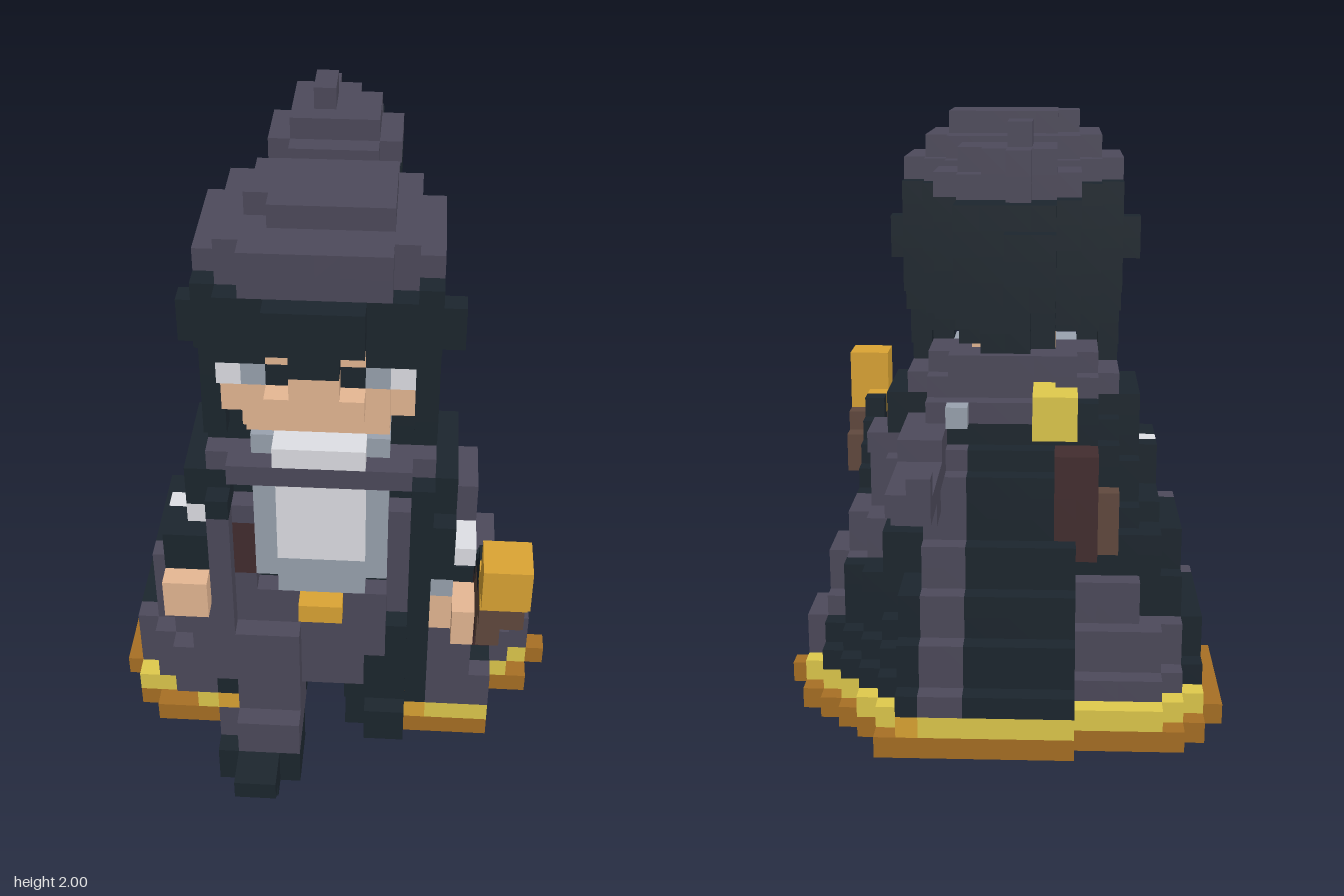
import * as THREE from 'three';

const V = 2 / 31; // edge of one cube; the grid is 21 x 31 x 23 cells

const mat = (name, color) => Object.assign(new THREE.MeshStandardMaterial({ color }), { name });
const plum = mat('plum', 0x4d4a5b), dark = mat('dark slate', 0x1c262e);
const light = mat('pale cloth', 0xdfe0e5), grey = mat('grey cloth', 0x9aa3b0);
const skin = mat('skin', 0xe6b894), yellow = mat('yellow trim', 0xe0ca4c);
const gold = mat('gold', 0xdca534), bronze = mat('bronze', 0xa87024);
const maroon = mat('maroon leather', 0x432d2f), brown = mat('brown leather', 0x61493e);

// outward direction of each cube face, with its two in-plane axes (u x v = n)
const FACES = [
  [[1, 0, 0], [0, 1, 0], [0, 0, 1]], [[-1, 0, 0], [0, 0, 1], [0, 1, 0]],
  [[0, 1, 0], [0, 0, 1], [1, 0, 0]], [[0, -1, 0], [1, 0, 0], [0, 0, 1]],
  [[0, 0, 1], [1, 0, 0], [0, 1, 0]], [[0, 0, -1], [0, 1, 0], [1, 0, 0]],
];

export function createModel() {
  const cells = new Map();
  let part = '';
  const put = (x, y, z, m) => cells.set(`${x},${y},${z}`, { p: [x, y, z], m, part });
  // solid block, inclusive cell ranges
  const box = (m, x0, x1, y0, y1, z0, z1) => {
    for (let x = x0; x <= x1; x++) for (let y = y0; y <= y1; y++) for (let z = z0; z <= z1; z++) put(x, y, z, m);
  };
  // block with rounded corners in plan
  const disc = (m, x0, x1, y0, y1, z0, z1, pow = 3) => {
    for (let x = x0; x <= x1; x++) for (let z = z0; z <= z1; z++) {
      const u = Math.abs((2 * x - x0 - x1) / (x1 - x0 + 1)), w = Math.abs((2 * z - z0 - z1) / (z1 - z0 + 1));
      if (u ** pow + w ** pow <= 1) box(m, x, x, y0, y1, z, z);
    }
  };

  // legs: the right one steps forward
  part = 'rightLeg';
  box(dark, 5, 8, 2, 8, 14, 14);
  box(plum, 5, 8, 2, 8, 15, 17);
  box(plum, 6, 8, 2, 3, 18, 18);
  disc(dark, 5, 8, 0, 1, 15, 19, 2);
  box(dark, 6, 7, 1, 1, 20, 20);
  part = 'leftLeg';
  box(dark, 11, 14, 1, 2, 11, 14);
  disc(dark, 11, 14, 0, 1, 11, 15, 2);
  box(dark, 11, 13, 3, 5, 12, 15);

  // torso
  part = 'torso';
  box(dark, 6, 13, 8, 17, 10, 15);
  box(dark, 6, 13, 5, 7, 12, 13);
  box(plum, 6, 13, 5, 10, 14, 15);
  box(plum, 6, 12, 5, 10, 16, 16);
  box(plum, 11, 13, 4, 4, 14, 15);
  box(dark, 13, 13, 5, 8, 16, 16);
  box(dark, 12, 12, 5, 6, 16, 16);
  box(plum, 6, 6, 11, 15, 15, 16);
  box(plum, 13, 13, 11, 15, 15, 16);
  box(maroon, 6, 6, 12, 14, 16, 16);
  part = 'shirt';
  box(light, 8, 11, 13, 17, 16, 16);
  for (const x of [7, 12]) box(grey, x, x, 12, 17, 16, 16);
  box(grey, 8, 11, 11, 12, 16, 16);
  part = 'buckle';
  box(gold, 9, 10, 10, 10, 17, 17);

  // cape: a hollow bell; left and right edges, back to front, of the two hem rows and the skirt above
  part = 'cape';
  const edges = [
    [[7, 2, 1, 1, 0, 0, 0, 0, 0, 0, 0, 1, 1, 2], [15, 15, 16, 17, 18, 19, 19, 19, 20, 19, 19, 17, 17, 17]],
    [[7, 3, 2, 1, 1, 1, 1, 1, 1, 1, 1, 1, 1, 4], [14, 15, 16, 16, 17, 18, 19, 19, 19, 19, 18, 17, 17, 17]],
    [[7, 7, 3, 2, 1, 1, 1, 1, 1, 1, 1, 1, 2, 3], [14, 14, 15, 16, 17, 18, 18, 19, 19, 19, 18, 17, 17, 17]],
  ];
  // leftmost cell, rightmost cell and rearmost cell of rows 3 to 17
  const rows = [[0, 20, 4], [1, 19, 4], [1, 19, 4], [1, 19, 5], [1, 18, 5], [2, 18, 6], [2, 18, 6], [2, 17, 7],
    [2, 17, 7], [3, 16, 8], [4, 16, 8], [4, 16, 8], [4, 16, 9], [4, 15, 10], [5, 15, 10]];
  const inside = (x, y, z) => {
    if (y > 17) return true;
    const [l, r, b] = rows[y - 3];
    if (z < b || z > 17) return false;
    const h = Math.round(((z - b) * 13) / (17 - b));
    const [left, right] = edges[Math.min(y - 3, 2)];
    if (y < 5) return x >= left[h] && x <= right[h];
    return x >= Math.round(10 - ((10 - left[h]) * (10 - l)) / 9) && x <= Math.round(10 + ((right[h] - 10) * (r - 10)) / 9);
  };
  const within = (x, y, z, t) => inside(x - t, y, z) && inside(x + t, y, z) && inside(x, y, z - t) && inside(x, y, z + t);
  rows.forEach(([l, r, b], n) => {
    const y = n + 3;
    for (let z = b; z <= 17; z++) for (let x = l; x <= r; x++) {
      if (!inside(x, y, z)) continue;
      const hollow = within(x, y, z, y < 5 ? 2 : 1) && inside(x, y + 1, z);
      const frontGap = z > 11 && x >= (y < 5 ? 5 : 6) && x <= 13;
      if (hollow || frontGap) continue;
      let m = dark;
      if (x < 10 && z < 9 && x > 1 && x < 7) m = plum;
      if (x < 6 && z > 14 && y > (x === 5 ? 5 : 4)) m = plum;
      if (x > 11 && x < 14 && z === b) m = plum;
      if (x > 13 && z > 10 && z < 15) m = plum;
      if (x > 14 && z === 17 && y < 10) m = plum;
      if (y > 15) m = dark;
      if (y === 4) m = within(x, y, z, 1) || x === 14 ? gold : yellow;
      if (y === 3) m = bronze;
      put(x, y, z, m);
    }
  });
  box(gold, 9, 10, 3, 4, 6, 6);
  put(5, 4, 17, gold);

  // arms with pale cuffs
  part = 'rightArm';
  box(dark, 4, 5, 16, 17, 12, 16);
  box(light, 4, 4, 15, 15, 14, 16);
  box(dark, 3, 4, 13, 14, 14, 17);
  box(light, 3, 3, 13, 14, 15, 15);
  box(skin, 3, 4, 11, 12, 17, 18);
  part = 'leftArm';
  box(dark, 14, 15, 16, 17, 12, 16);
  box(light, 15, 15, 15, 15, 14, 15);
  box(plum, 16, 16, 15, 15, 12, 13);
  box(dark, 15, 15, 14, 14, 14, 16);
  box(light, 15, 16, 13, 13, 14, 16);
  box(plum, 16, 16, 12, 12, 13, 14);
  box(grey, 15, 15, 12, 12, 14, 17);
  box(skin, 15, 16, 10, 11, 17, 17);
  box(skin, 16, 16, 10, 11, 18, 18);

  // sheathed sword slanting down and back at the left hip
  part = 'sword';
  [[8, 14, 16], [9, 14, 17], [10, 15, 18], [11, 16, 19]].forEach(([y, a, b]) => box(maroon, 17, 17, y, y, a, b));
  box(maroon, 16, 16, 9, 10, 15, 16);
  [[12, 17, 20], [13, 18, 20], [14, 20, 21]].forEach(([y, a, b]) => box(brown, 17, 17, y, y, a, b));
  box(brown, 18, 18, 12, 13, 19, 19);
  box(brown, 18, 18, 13, 14, 20, 20);
  for (let y = 11; y <= 15; y++) box(dark, 17, 17, y, y, y + 4, y + 4);
  box(dark, 17, 17, 14, 14, 19, 19);
  put(17, 15, 20, gold);
  box(gold, 17, 18, 15, 15, 21, 21);
  box(gold, 17, 18, 16, 17, 21, 22);

  // pouch and clasp on the back
  part = 'pouch';
  box(maroon, 6, 7, 12, 15, 8, 9);
  box(maroon, 6, 6, 11, 11, 8, 8);
  box(brown, 5, 5, 11, 13, 9, 10);
  part = 'clasp';
  box(yellow, 7, 8, 17, 18, 7, 8);
  put(8, 18, 9, yellow);
  put(12, 17, 9, grey);

  // scarf and its flying tail
  part = 'scarf';
  disc(plum, 5, 14, 18, 18, 11, 17, 4);
  disc(plum, 6, 13, 19, 19, 11, 15);
  box(plum, 8, 13, 17, 17, 10, 10);
  box(plum, 13, 14, 16, 16, 7, 11);
  box(plum, 13, 14, 15, 15, 2, 8);
  box(plum, 13, 14, 14, 14, 4, 5);
  box(plum, 13, 13, 15, 16, 1, 1);

  part = 'collar';
  box(light, 8, 11, 19, 19, 16, 17);
  for (const x of [7, 12]) box(grey, x, x, 19, 19, 15, 16);
  part = 'neck';
  box(skin, 8, 11, 20, 21, 13, 15);

  // hair
  part = 'hair';
  box(dark, 6, 13, 21, 21, 12, 13);
  disc(dark, 5, 14, 22, 22, 11, 17, 4);
  disc(dark, 5, 14, 23, 24, 10, 17, 4);
  disc(dark, 5, 14, 25, 27, 10, 18, 4);
  disc(plum, 5, 14, 28, 28, 10, 18);
  disc(plum, 6, 13, 29, 29, 11, 18);
  box(plum, 8, 12, 30, 30, 13, 16);
  box(plum, 7, 7, 30, 30, 14, 15);
  box(dark, 8, 11, 26, 27, 19, 19);
  box(dark, 9, 10, 25, 25, 19, 19);
  for (const [x, inner, tuft] of [[5, 6, 4], [14, 13, 15]]) {
    box(dark, x, x, 19, 19, 15, 15);
    box(dark, x, x, 20, 24, 14, 16);
    box(dark, inner, inner, 19, 21, 15, 15);
    box(dark, tuft, tuft, 24, 25, 15, 15);
  }

  // face
  part = 'face';
  box(skin, 7, 12, 21, 21, 14, 17);
  box(skin, 6, 13, 22, 23, 15, 17);
  box(skin, 7, 12, 22, 24, 18, 18);
  box(skin, 8, 11, 23, 23, 19, 19);
  box(skin, 9, 10, 24, 24, 19, 19);
  for (const x of [8, 11]) put(x, 25, 18, skin);
  part = 'eyes';
  for (const [pupil, iris, white] of [[8, 7, 6], [11, 12, 13]]) {
    put(pupil, 24, 18, dark);
    put(iris, 24, 18, grey);
    box(light, white, white, 24, 24, 17, 18);
  }

  // ponytail in slices from tip to root, each with a narrower underside
  part = 'ponytail';
  [[8, 9, 24, 26], [8, 11, 23, 27], [8, 11, 22, 27], [7, 11, 22, 27], [7, 12, 22, 27], [7, 12, 23, 27],
    [7, 12, 24, 27], [8, 11, 25, 27], [8, 11, 25, 27], [8, 11, 25, 27]].forEach(([x0, x1, y0, y1], z) => {
    box(dark, x0, x1, y0 + 1, y1, z, z);
    box(dark, z ? x0 + 1 : x0, z ? x1 - 1 : x1, y0, y0, z, z);
  });
  put(9, 24, 8, dark);
  box(plum, 9, 9, 28, 29, 2, 2);
  box(plum, 8, 11, 28, 28, 3, 7);
  box(plum, 7, 12, 28, 28, 4, 6);
  box(plum, 8, 10, 29, 29, 3, 3);
  box(plum, 8, 11, 29, 29, 4, 6);
  box(plum, 9, 9, 30, 30, 4, 5);
  part = 'hairBand';
  box(yellow, 8, 11, 28, 28, 9, 9);
  box(yellow, 8, 11, 27, 27, 8, 9);
  box(gold, 8, 11, 26, 26, 8, 9);
  box(bronze, 8, 11, 25, 25, 9, 9);
  part = 'ponytail';
  box(plum, 8, 10, 27, 27, 8, 8);

  // turn exposed cube faces into one mesh per part and colour
  const meshes = new Map();
  for (const { p, m, part: name } of cells.values()) {
    const key = `${name} ${m.name}`;
    if (!meshes.has(key)) meshes.set(key, { name, m, pos: [], nor: [] });
    const { pos, nor } = meshes.get(key);
    for (const [n, u, w] of FACES) {
      if (cells.has(p.map((c, a) => c + n[a]).join())) continue;
      for (const [s, t] of [[-1, -1], [1, -1], [1, 1], [-1, -1], [1, 1], [-1, 1]]) {
        const q = p.map((c, a) => c + 0.5 + (n[a] + s * u[a] + t * w[a]) / 2);
        pos.push((q[0] - 10.5) * V, q[1] * V, (q[2] - 11.5) * V);
        nor.push(...n);
      }
    }
  }
  const model = new THREE.Group();
  model.name = 'cloakedSwordFighter';
  for (const [key, { name, m, pos, nor }] of meshes) {
    if (!pos.length) continue;
    let group = model.getObjectByName(name);
    if (!group) {
      group = new THREE.Group();
      group.name = name;
      model.add(group);
    }
    const geo = new THREE.BufferGeometry();
    geo.setAttribute('position', new THREE.Float32BufferAttribute(pos, 3));
    geo.setAttribute('normal', new THREE.Float32BufferAttribute(nor, 3));
    const mesh = new THREE.Mesh(geo, m);
    mesh.name = key;
    group.add(mesh);
  }
  return model;
}
